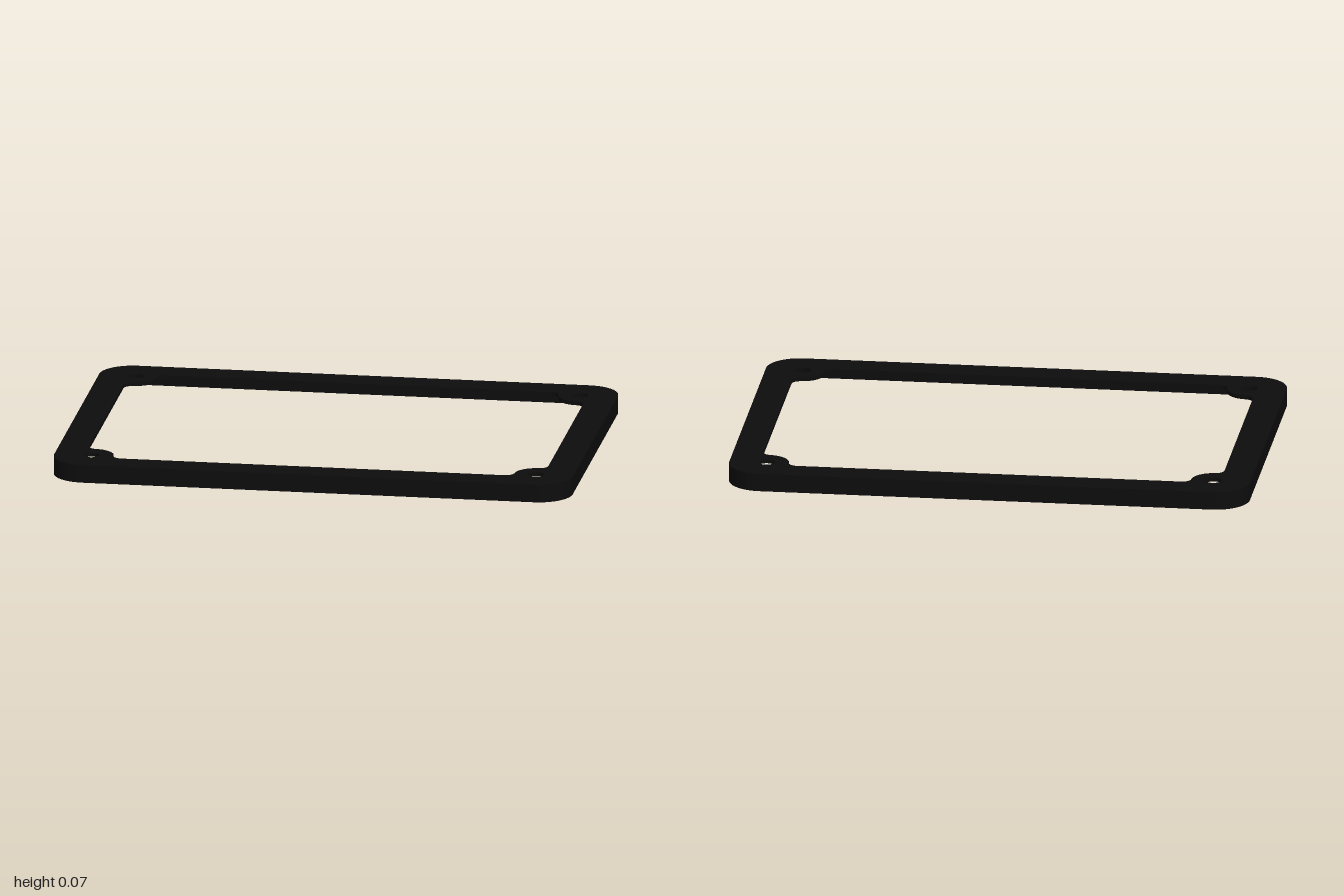
import * as THREE from 'three';

const W = 1, D = 0.688, H = 0.07;      // half width, half depth, height
const PLATE = 0.015, WALL = 0.018;     // sheet and skirt thickness
const EAR = { x: 0.858, y: 0.547, r: 0.085, hole: 0.031 };
const INNER = { x: 0.886, y: 0.577, fillet: 0.035 };

// Rounded rectangle outline from half sizes
function roundedRect(target, w, d, r) {
  target.absarc(w - r, d - r, r, 0, Math.PI / 2);
  target.absarc(-w + r, d - r, r, Math.PI / 2, Math.PI);
  target.absarc(-w + r, -d + r, r, Math.PI, Math.PI * 1.5);
  target.absarc(w - r, -d + r, r, Math.PI * 1.5, Math.PI * 2);
  target.closePath();
  return target;
}

// Window opening: one corner with its screw ear and fillets, mirrored to four
function windowOpening() {
  const { x, y, r } = EAR, f = INNER.fillet;
  const ax = INNER.x - f, ay = y - Math.sqrt((r + f) ** 2 - (ax - x) ** 2);
  const by = INNER.y - f, bx = x - Math.sqrt((r + f) ** 2 - (by - y) ** 2);
  const corner = new THREE.Path();
  corner.absarc(ax, ay, f, 0, Math.atan2(y - ay, x - ax), false);
  corner.absarc(x, y, r, Math.atan2(ay - y, ax - x), Math.atan2(by - y, bx - x), true);
  corner.absarc(bx, by, f, Math.atan2(y - by, x - bx), Math.PI / 2, false);
  const pts = corner.getPoints(10);
  const outline = [];
  for (const [sx, sy] of [[1, 1], [-1, 1], [-1, -1], [1, -1]]) {
    const q = pts.map(p => new THREE.Vector2(p.x * sx, p.y * sy));
    outline.push(...(sx * sy < 0 ? q.reverse() : q));
  }
  return new THREE.Path(outline);
}

// Extrude a plan shape upward from y = base
function slab(shape, base, height, material, name) {
  const geo = new THREE.ExtrudeGeometry(shape, { depth: height, bevelEnabled: false, curveSegments: 16 });
  geo.rotateX(-Math.PI / 2);
  geo.translate(0, base, 0);
  const mesh = new THREE.Mesh(geo, material);
  mesh.name = name;
  return mesh;
}

export function createModel() {
  const black = new THREE.MeshStandardMaterial({ color: 0x0d0d0d });
  black.name = 'black';

  // Thin top plate with the window and four screw holes
  const face = roundedRect(new THREE.Shape(), W, D, 0.13);
  face.holes.push(windowOpening());
  for (const sx of [-1, 1]) for (const sy of [-1, 1]) {
    face.holes.push(new THREE.Path().absarc(sx * EAR.x, sy * EAR.y, EAR.hole, 0, Math.PI * 2));
  }

  // Skirt hanging from the plate's outer edge
  const skirt = roundedRect(new THREE.Shape(), W, D, 0.13);
  skirt.holes.push(roundedRect(new THREE.Path(), W - WALL, D - WALL, 0.13 - WALL));

  const group = new THREE.Group();
  group.name = 'bezelFrame';
  group.add(
    slab(face, H - PLATE, PLATE, black, 'topPlate'),
    slab(skirt, 0, H - PLATE, black, 'outerSkirt'),
  );
  return group;
}
